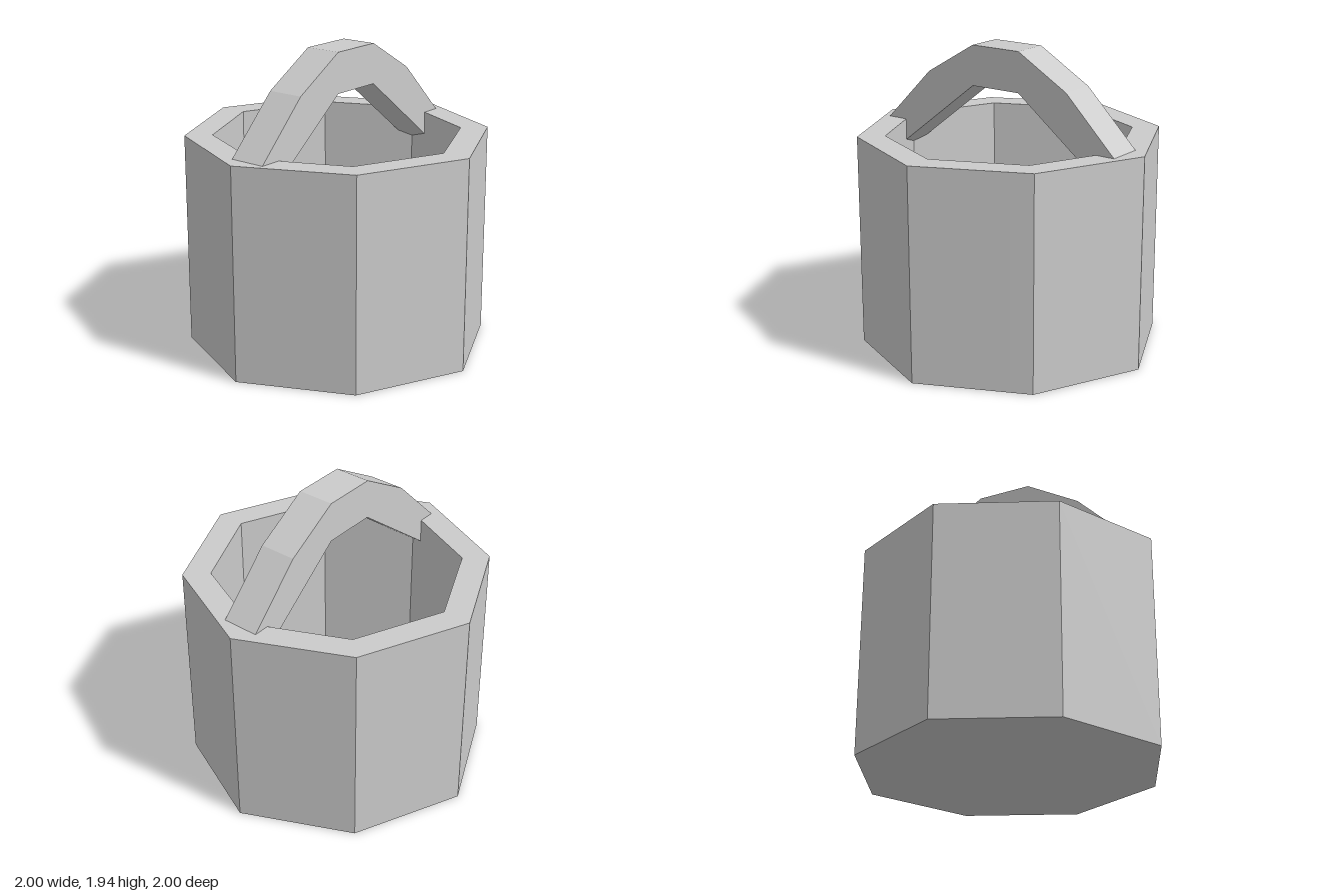
import * as THREE from 'three';

const material = new THREE.MeshStandardMaterial({ color: 0xcccccc, flatShading: true });

// Octagon with separate radii for its axis corners and its diagonal corners
function octagon(axis, diagonal) {
  return Array.from({ length: 8 }, (_, i) => {
    const a = (i * Math.PI) / 4;
    const r = i % 2 ? diagonal : axis;
    return new THREE.Vector2(r * Math.cos(a), r * Math.sin(a));
  });
}

function extrude(name, shape, depth) {
  const geometry = new THREE.ExtrudeGeometry(shape, { depth, bevelEnabled: false });
  const mesh = new THREE.Mesh(geometry, material);
  mesh.name = name;
  return mesh;
}

export function createModel() {
  const model = new THREE.Group();
  model.name = 'bucket';

  const height = 1.38;
  const floorHeight = 0.19;
  const inner = octagon(0.815, 0.795);

  // Thick eight-sided wall with a flat rim
  const wallShape = new THREE.Shape(octagon(1, 0.972));
  wallShape.holes.push(new THREE.Path(inner));
  const wall = extrude('wall', wallShape, height);
  wall.geometry.rotateX(-Math.PI / 2);

  // Floor filling the bottom of the wall
  const floor = extrude('floor', new THREE.Shape(inner), floorHeight);
  floor.geometry.rotateX(-Math.PI / 2);

  // Faceted arch, its feet buried in the wall
  const half = [[0.178, 1.94], [0.535, 1.73], [0.885, 1.38], [0.86, 1.15], [0.178, 1.68]];
  const mirrored = half.map(([x, y]) => [-x, y]).reverse();
  const outline = [...half, ...mirrored].map(([x, y]) => new THREE.Vector2(x, y));
  const handle = extrude('handle', new THREE.Shape(outline), 0.24);
  handle.position.set(-0.005, 0, -0.09);

  model.add(wall, floor, handle);
  return model;
}
